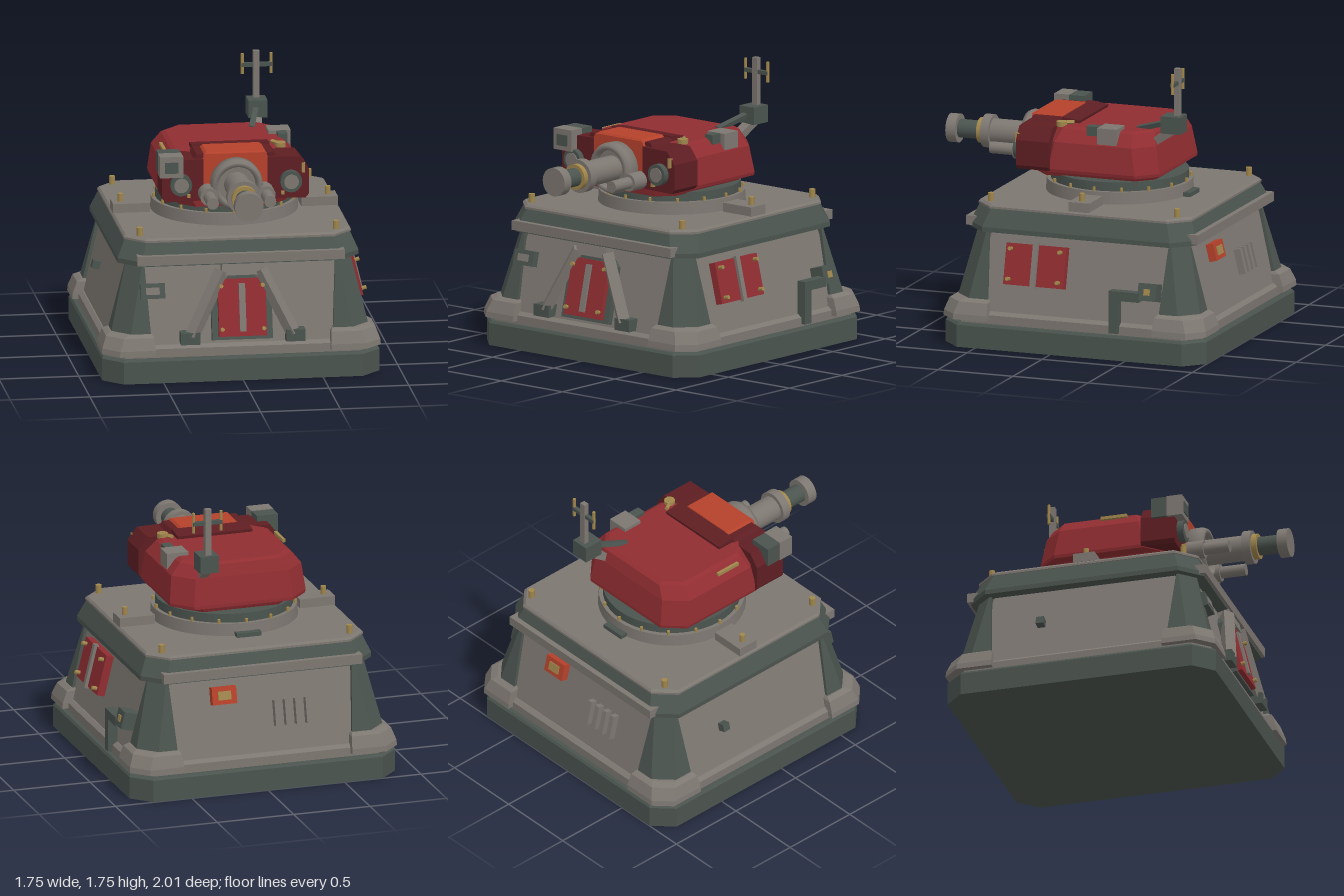
import * as THREE from 'three';

const mat = (name, color) => Object.assign(new THREE.MeshStandardMaterial({ color }), { name });
const grey = mat('concrete grey', 0x7d7771), dark = mat('dark green grey', 0x4b544f);
const red = mat('armour red', 0x902d31), deep = mat('deep red', 0x5e1e22);
const orange = mat('orange red', 0xb5412b), brass = mat('brass', 0xa0864c);
const CZ = -0.13; // centre of the bunker along z

export function createModel() {
  const root = new THREE.Group();
  const add = (name, geo, m, x = 0, y = 0, z = 0, parent = root) => {
    const mesh = new THREE.Mesh(geo, m);
    mesh.name = name;
    mesh.position.set(x, y, z);
    parent.add(mesh);
    return mesh;
  };
  const box = (name, m, w, h, d, x, y, z, parent) => add(name, new THREE.BoxGeometry(w, h, d), m, x, y, z, parent);
  const bolt = (x, y, z, r, h, parent) => add('bolt', new THREE.CylinderGeometry(r, r, h, 10), brass, x, y, z, parent);
  // cylinder along z from z0 to z1
  const rod = (name, m, r, z0, z1, x, y, parent, r2 = r) => {
    const g = new THREE.CylinderGeometry(r2, r, z1 - z0, 28).rotateX(Math.PI / 2);
    return add(name, g, m, x, y, (z0 + z1) / 2, parent);
  };
  // square beam between two points
  const beam = (name, m, a, b, w, d) => {
    const p = new THREE.Vector3(...a), q = new THREE.Vector3(...b), dir = q.clone().sub(p);
    const mesh = box(name, m, w, dir.length(), d, 0, 0, 0);
    mesh.position.copy(p).add(q).multiplyScalar(0.5);
    mesh.quaternion.setFromUnitVectors(new THREE.Vector3(0, 1, 0), dir.normalize());
    return mesh;
  };
  // faceted solid through horizontal sections [y, [[x, z], ...]]
  const loft = (sections) => {
    const v = [], n = sections[0][1].length;
    const put = (s, i) => v.push(s[1][i % n][0], s[0], s[1][i % n][1]);
    for (let k = 0; k < sections.length - 1; k++) {
      const lo = sections[k], hi = sections[k + 1];
      for (let i = 0; i < n; i++) {
        put(lo, i); put(hi, i); put(lo, i + 1);
        put(lo, i + 1); put(hi, i); put(hi, i + 1);
      }
    }
    const first = sections[0], last = sections[sections.length - 1];
    for (let i = 1; i < n - 1; i++) {
      put(first, 0); put(first, i); put(first, i + 1);
      put(last, 0); put(last, i + 1); put(last, i);
    }
    const g = new THREE.BufferGeometry();
    g.setAttribute('position', new THREE.Float32BufferAttribute(v, 3));
    g.computeVertexNormals();
    return g;
  };
  // rectangle with cut corners
  const oct = (h, z0, z1, c) => [[h, z0 + c], [h, z1 - c], [h - c, z1], [c - h, z1],
    [-h, z1 - c], [-h, z0 + c], [c - h, z0], [h - c, z0]];
  const sq = (y, h, c) => [y, oct(h, CZ - h, CZ + h, c)];
  const extrude = (pts, depth) => new THREE.ExtrudeGeometry(
    new THREE.Shape(pts.map((p) => new THREE.Vector2(...p))), { depth, bevelEnabled: false });

  // Bunker layers
  add('foundation', loft([sq(0, 0.87, 0.12), sq(0.14, 0.87, 0.12), sq(0.155, 0.86, 0.12)]), dark);
  add('plinth', loft([sq(0.155, 0.835, 0.1), sq(0.21, 0.835, 0.1), sq(0.23, 0.81, 0.1)]), grey);
  add('walls', loft([sq(0.2, 0.81, 0.1), sq(0.75, 0.675, 0.1)]), grey);
  add('roofSkirt', loft([sq(0.72, 0.755, 0.13), sq(0.75, 0.755, 0.13), sq(0.865, 0.705, 0.12)]), dark);
  add('roof', loft([sq(0.862, 0.712, 0.12), sq(0.875, 0.712, 0.12), sq(0.888, 0.7, 0.12)]), grey);

  // Corner pillars and feet, repeated by quarter turns
  const corner = (y, h, a, c) => [y, [[h, a], [h, h - c], [h - c, h], [a, h], [a, a]]];
  const pillar = loft([corner(0.28, 0.81, 0.57, 0.11), corner(0.74, 0.7, 0.6, 0.09)]);
  const foot = loft([corner(0.175, 0.875, 0.55, 0.1), corner(0.21, 0.872, 0.55, 0.1),
    corner(0.285, 0.845, 0.555, 0.1), corner(0.302, 0.815, 0.565, 0.1)]);
  for (let i = 0; i < 4; i++) {
    const g = new THREE.Group();
    g.name = 'cornerPillar';
    g.position.z = CZ;
    g.rotation.y = i * Math.PI / 2;
    root.add(g);
    add('pillar', pillar, dark, 0, 0, 0, g);
    add('pillarFoot', foot, grey, 0, 0, 0, g);
  }

  // Frame lying on a sloped wall; local z points out of the wall
  const onWall = (name, turn, u, y) => {
    const side = new THREE.Group(), g = new THREE.Group();
    side.name = name;
    side.position.z = CZ;
    side.rotation.y = turn;
    g.position.set(u, y, 0.785 - 0.244 * (y - 0.3));
    g.rotation.x = -0.24;
    side.add(g);
    root.add(side);
    return g;
  };
  const boltsOut = (g, dx, dy, z) => {
    for (const sx of [-1, 1]) for (const sy of [-1, 1])
      bolt(sx * dx, sy * dy, z, 0.013, 0.035, g).rotation.x = Math.PI / 2;
  };
  for (const turn of [0, Math.PI]) {
    const g = onWall('eaveRail', turn, 0, 0.76);
    g.rotation.x = 0;
    box('rail', grey, 1.3, 0.06, 0.1, 0, 0, 0.05, g);
  }

  // Front hatch with braces
  const hatch = onWall('frontHatch', 0, 0, 0.44);
  const plate = (w, b, t, c) => [[-w, b], [w, b], [w, t - c], [w - c, t], [c - w, t], [-w, t - c]];
  add('hatchFrame', extrude(plate(0.19, -0.2, 0.23, 0.07), 0.05), dark, 0, 0, -0.01, hatch);
  add('hatchDoor', extrude(plate(0.15, -0.18, 0.18, 0.04), 0.03), red, 0, 0, 0.04, hatch);
  box('hatchStrip', grey, 0.04, 0.3, 0.02, 0, 0, 0.075, hatch);
  boltsOut(hatch, 0.13, 0.135, 0.075);
  box('hatchHood', grey, 0.24, 0.07, 0.09, 0, 0.235, 0.035, hatch);
  for (const s of [-1, 1]) {
    beam('brace', grey, [s * 0.12, 0.68, 0.625], [s * 0.32, 0.28, 0.7], 0.06, 0.07);
    box('braceFoot', dark, 0.12, 0.075, 0.09, s * 0.33, 0.275, 0.69);
  }
  const slot = onWall('visionSlot', 0, -0.555, 0.555);
  box('slotFrame', dark, 0.155, 0.095, 0.06, 0, 0, 0.02, slot);
  box('slotGlass', grey, 0.085, 0.045, 0.008, 0, 0, 0.052, slot);

  // Left-of-model wall: access panel, pipe and junction box
  const panel = onWall('accessPanel', Math.PI / 2, -0.265, 0.525);
  box('panelPlate', red, 0.4, 0.26, 0.05, 0, 0, 0.025, panel);
  box('panelStrip', grey, 0.035, 0.285, 0.03, 0, 0, 0.055, panel);
  boltsOut(panel, 0.165, 0.095, 0.065);
  box('pipeRiser', dark, 0.06, 0.27, 0.06, 0.835, 0.305, -0.42);
  box('pipeRun', dark, 0.06, 0.06, 0.2, 0.835, 0.41, -0.49);
  const junction = onWall('junctionBox', Math.PI / 2, 0.51, 0.425);
  box('junctionCase', dark, 0.12, 0.11, 0.11, 0, 0, 0.045, junction);
  box('junctionCover', brass, 0.04, 0.04, 0.008, 0, 0, 0.102, junction);
  box('wallSocket', dark, 0.05, 0.05, 0.06, 0, 0, 0.02, onWall('socket', -Math.PI / 2, -0.26, 0.47));

  // Rear wall: vents and alarm box
  for (let i = 0; i < 4; i++) {
    const g = onWall('rearVent', Math.PI, 0.09 + i * 0.068, 0.46);
    box('vent', grey, 0.035, 0.16, 0.05, 0, 0, 0.02, g);
  }
  const alarm = onWall('alarmBox', Math.PI, -0.25, 0.6);
  box('alarmCase', orange, 0.16, 0.11, 0.06, 0, 0, 0.02, alarm);
  box('alarmCover', brass, 0.085, 0.055, 0.008, 0, 0, 0.053, alarm);

  // Roof fittings
  for (const s of [-1, 1]) {
    box('roofBlock', grey, 0.23, 0.06, 0.14, s * 0.59, 0.915, CZ);
    bolt(s * 0.65, 0.965, CZ, 0.018, 0.06);
    for (const z of [-0.75, 0.49]) bolt(s * 0.615, 0.91, z, 0.02, 0.06);
  }
  box('roofStep', dark, 0.16, 0.03, 0.05, 0, 0.9, -0.605);

  // Turret ring
  add('ringBase', new THREE.CylinderGeometry(0.455, 0.46, 0.08, 48), grey, 0, 0.925, CZ);
  add('ringBearing', new THREE.CylinderGeometry(0.43, 0.43, 0.06, 48), dark, 0, 0.992, CZ);
  for (let i = 0; i < 16; i++) {
    const a = i * Math.PI / 8;
    bolt(0.443 * Math.sin(a), 0.975, CZ + 0.443 * Math.cos(a), 0.01, 0.03);
  }

  // Turret shell
  add('turretNeck', loft([[1.015, oct(0.34, -0.46, 0.33, 0.1)], [1.075, oct(0.37, -0.49, 0.34, 0.1)]]), red);
  add('turretShell', loft([[1.06, oct(0.44, -0.52, 0.3, 0.12)], [1.08, oct(0.445, -0.52, 0.3, 0.12)],
    [1.25, oct(0.425, -0.49, 0.26, 0.12)], [1.325, oct(0.365, -0.465, 0.22, 0.11)],
    [1.338, oct(0.34, -0.44, 0.2, 0.1)]]), red);

  // Front housing with cheeks
  add('gunHousing', extrude([[-0.27, 1.07], [0.27, 1.07], [0.3, 1.28], [0.24, 1.36], [-0.24, 1.36], [-0.3, 1.28]], 0.2), deep, 0, 0, 0.16);
  box('housingRib', deep, 0.49, 0.05, 0.12, 0, 1.338, 0.105).rotation.x = -0.12;
  add('housingTop', loft([[1.355, oct(0.2, 0.16, 0.375, 0.01)], [1.373, oct(0.18, 0.165, 0.36, 0.01)]]), orange);
  add('housingFace', extrude([[-0.17, 1.08], [0.17, 1.08], [0.23, 1.15], [0.23, 1.28], [0.19, 1.365], [-0.19, 1.365], [-0.23, 1.28], [-0.23, 1.15]], 0.025), orange, 0, 0, 0.355);
  const cheek = extrude([[0.2, 1.07], [0.44, 1.065], [0.46, 1.09], [0.46, 1.25], [0.4, 1.33], [0.2, 1.335]], 0.22);
  cheek.translate(0, 0, 0.165);
  for (const s of [0, 1]) {
    const m = add('cheek', s ? cheek.clone().rotateY(Math.PI).translate(0, 0, 0.55) : cheek, deep);
    const x = s ? -0.345 : 0.345;
    m.name = s ? 'rightCheek' : 'leftCheek';
    rod('lampBody', dark, 0.068, 0.37, 0.425, x, 1.18);
    rod('lampLens', grey, 0.046, 0.42, 0.432, x, 1.18);
    box('lampClip', brass, 0.02, 0.02, 0.03, x + (s ? 0.05 : -0.05), 1.105, 0.395);
  }

  // Gun
  rod('mantletCore', grey, 0.14, 0.36, 0.44, 0, 1.18);
  const collar = [[0.12, 0.38], [0.16, 0.38], [0.162, 0.45], [0.148, 0.48], [0.122, 0.48], [0.115, 0.43]];
  add('mantletCollar', new THREE.LatheGeometry(collar.map((p) => new THREE.Vector2(...p)), 36)
    .rotateX(Math.PI / 2).toNonIndexed(), grey, 0, 1.18, 0);
  rod('gunSleeve', grey, 0.08, 0.42, 0.72, 0, 1.18);
  rod('gunFlange', grey, 0.105, 0.71, 0.765, 0, 1.18);
  rod('gunBand', brass, 0.08, 0.765, 0.8, 0, 1.18);
  rod('gunBarrel', dark, 0.058, 0.79, 0.95, 0, 1.18);
  rod('muzzle', grey, 0.09, 0.935, 1.0, 0, 1.18);
  for (const s of [-1, 1]) {
    rod('recoilMount', grey, 0.056, 0.37, 0.5, s * 0.18, 1.12);
    rod('recoilCylinder', grey, 0.037, 0.49, 0.66, s * 0.18, 1.12);
  }

  // Sights and handles
  box('sightRear', dark, 0.14, 0.13, 0.1, -0.408, 1.303, 0.29);
  box('sightBox', grey, 0.145, 0.135, 0.1, -0.408, 1.303, 0.39);
  box('sightGlass', dark, 0.085, 0.07, 0.008, -0.408, 1.3, 0.443);
  box('periscope', grey, 0.14, 0.11, 0.13, 0.35, 1.305, -0.205);
  box('periscopeHead', dark, 0.06, 0.06, 0.08, 0.36, 1.33, -0.1);
  box('sideHandle', brass, 0.02, 0.02, 0.17, -0.4, 1.31, -0.025);
  bolt(0.315, 1.345, 0.135, 0.035, 0.03);
  beam('hatchLever', brass, [0.315, 1.35, 0.14], [0.27, 1.35, 0.07], 0.02, 0.02);
  box('cheekLatch', brass, 0.02, 0.06, 0.03, 0.425, 1.26, 0.385);

  // Antenna
  beam('antennaArm', grey, [0.25, 1.26, -0.45], [0.27, 1.36, -0.6], 0.06, 0.05);
  beam('antennaStay', dark, [0.2, 1.33, -0.33], [0.26, 1.4, -0.56], 0.035, 0.03);
  box('antennaBox', dark, 0.12, 0.11, 0.13, 0.27, 1.395, -0.595);
  box('antennaMast', grey, 0.04, 0.31, 0.035, 0.27, 1.595, -0.62);
  box('antennaBar', dark, 0.19, 0.025, 0.025, 0.273, 1.66, -0.62);
  for (const x of [0.183, 0.363]) bolt(x, 1.667, -0.62, 0.01, 0.13);
  return root;
}
